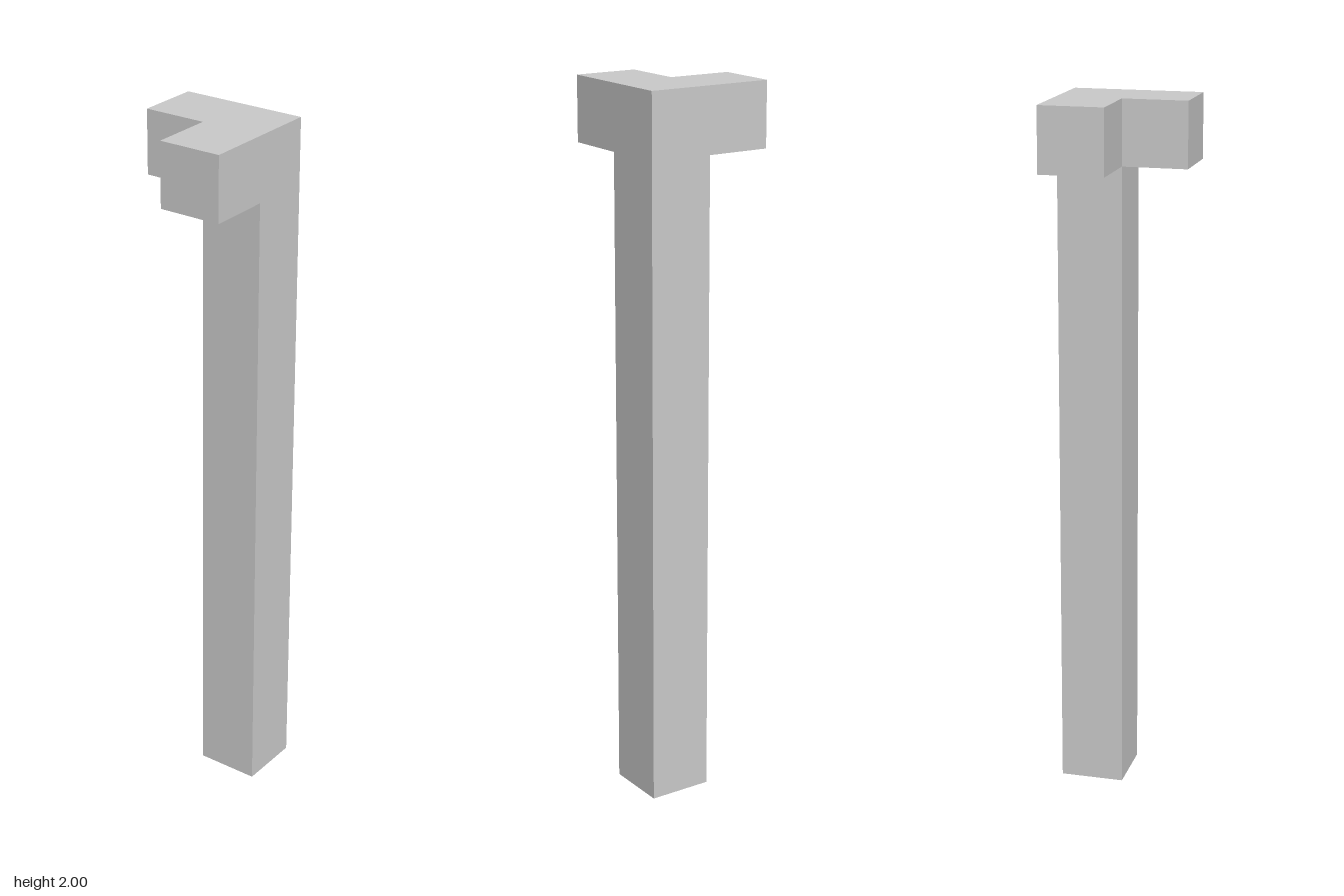
import * as THREE from 'three';

// The model is laid out in cubes, eleven to the full height
const UNIT = 2 / 11;

export function createModel() {
  const group = new THREE.Group();
  group.name = 'cornerPost';
  const grey = new THREE.MeshStandardMaterial({ color: 0xcacaca });
  grey.name = 'light grey';

  // Box whose minimum corner and size are given in units
  const block = (name, [x, y, z], [w, h, d]) => {
    const geometry = new THREE.BoxGeometry(w * UNIT, h * UNIT, d * UNIT);
    const mesh = new THREE.Mesh(geometry, grey);
    mesh.name = name;
    mesh.position.set(x + w / 2, y + h / 2, z + d / 2).multiplyScalar(UNIT);
    group.add(mesh);
  };

  // Upright, with two arms at right angles flush with its top
  block('post', [0, 0, -1], [1, 11, 1]);
  block('sideArm', [-1, 10, -1], [1, 1, 1]);
  block('frontArm', [0, 10, 0], [1, 1, 1]);

  return group;
}
